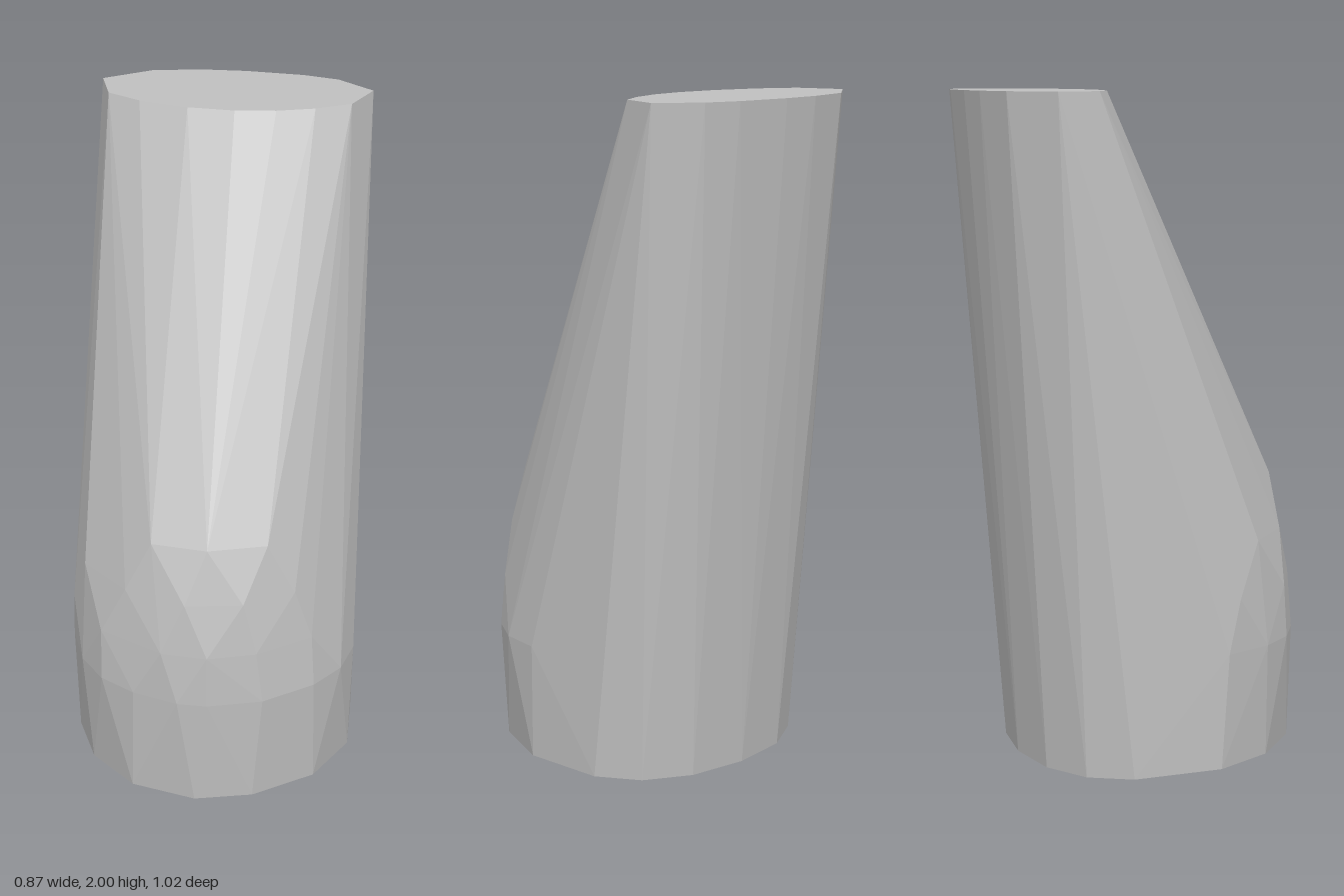
import * as THREE from 'three';
import { ConvexGeometry } from 'three/addons/geometries/ConvexGeometry.js';

export function createModel() {
  const group = new THREE.Group();
  group.name = 'leaningColumn';

  const stone = new THREE.MeshStandardMaterial({ color: 0xc0c0c0 });
  stone.name = 'plain grey';

  // Flat cap, as [x, z] around the rim
  const top = [
    [-0.415, -0.37], [-0.28, -0.475], [-0.13, -0.505], [0, -0.51], [0.18, -0.495],
    [0.29, -0.465], [0.405, -0.37], [0.355, -0.23], [0.255, -0.17], [0.145, -0.132],
    [0.025, -0.115], [-0.115, -0.125], [-0.265, -0.168], [-0.37, -0.23],
  ];
  // Foot, slightly raised towards the front
  const foot = [
    [-0.41, -0.14], [-0.33, -0.26], [-0.19, -0.335], [0, -0.36], [0.19, -0.335],
    [0.33, -0.26], [0.41, -0.14], [0.425, 0.11], [0.34, 0.31], [0.17, 0.45],
    [0, 0.5], [-0.2, 0.45], [-0.35, 0.31], [-0.43, 0.13],
  ];
  // Front arcs of the bulge, as [height, points]
  const bulge = [
    [0.36, [[-0.437, 0.15], [-0.38, 0.3], [-0.3, 0.4], [-0.19, 0.467], [-0.05, 0.51],
      [0.04, 0.51], [0.2, 0.457], [0.34, 0.34], [0.41, 0.23], [0.435, 0.1]]],
    [0.52, [[-0.425, 0.19], [-0.3, 0.39], [-0.1, 0.495], [0.04, 0.505], [0.18, 0.455], [0.33, 0.33]]],
    [0.68, [[-0.37, 0.27], [-0.22, 0.41], [-0.03, 0.482], [0.14, 0.45], [0.28, 0.35]]],
    [0.84, [[-0.14, 0.41], [0.03, 0.43], [0.2, 0.37]]],
  ];

  const points = [
    ...top.map(([x, z]) => new THREE.Vector3(x, 2, z)),
    ...foot.map(([x, z]) => new THREE.Vector3(x, 0.0233 * (z + 0.36), z)),
    ...bulge.flatMap(([y, arc]) => arc.map(([x, z]) => new THREE.Vector3(x, y, z))),
  ];

  // Faceted body stretched over the rings
  const body = new THREE.Mesh(new ConvexGeometry(points), stone);
  body.name = 'body';
  group.add(body);
  return group;
}
